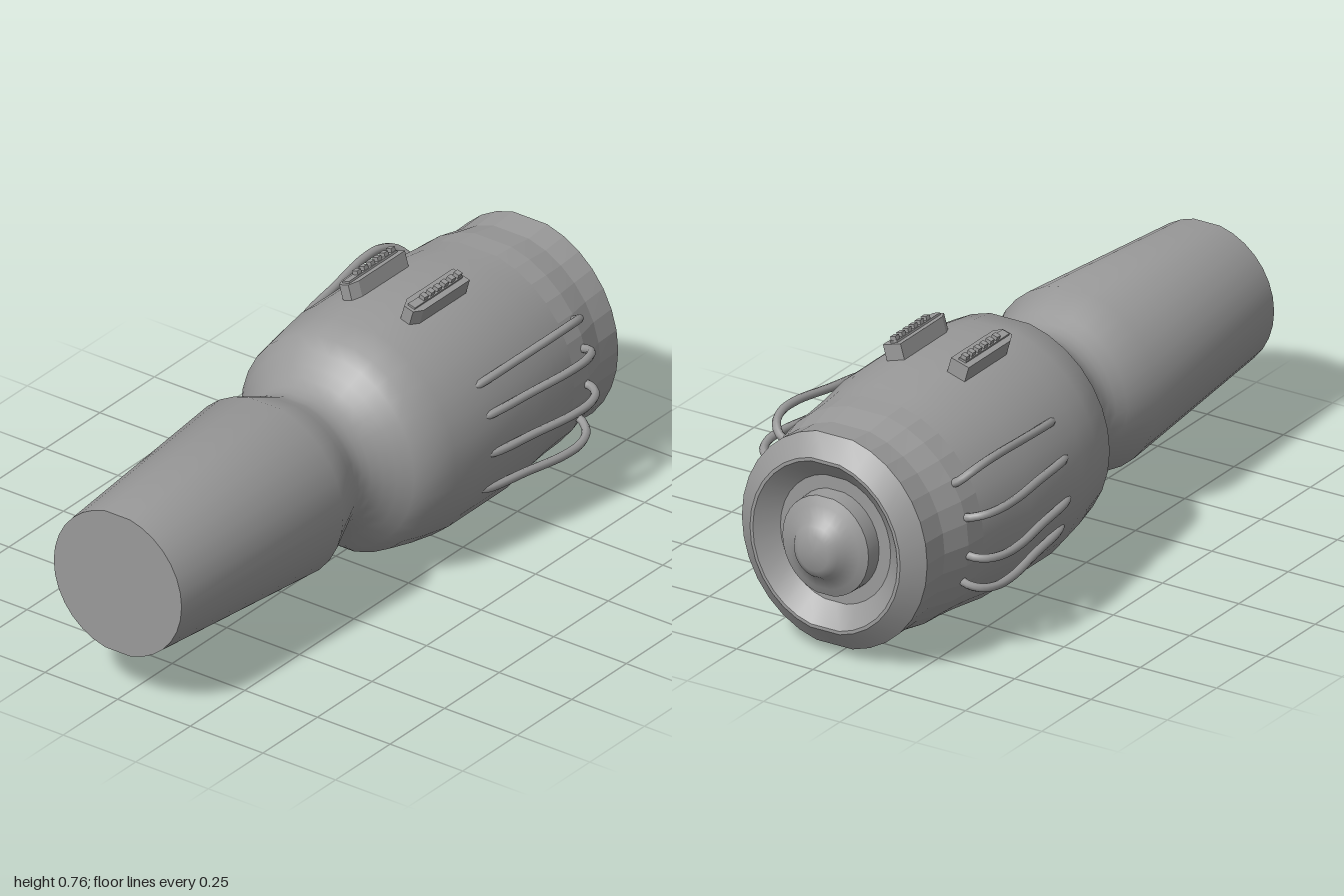
import * as THREE from 'three';
import { toCreasedNormals } from 'three/addons/utils/BufferGeometryUtils.js';

const AXIS_Y = 0.352;
const SEGMENTS = 32;
const SMOOTH = 0.65;
const FACETED = 0.1;
const material = new THREE.MeshStandardMaterial({ color: 0x999999 });

function addMesh(parent, name, geometry) {
  const mesh = new THREE.Mesh(geometry, material);
  mesh.name = name;
  parent.add(mesh);
  return mesh;
}

// Turned part along z with flats at top and bottom; the axis rises slightly
// toward the handle and the tail is a little narrower
function turned(profile, crease = SMOOTH) {
  const g = new THREE.LatheGeometry(profile.map(([z, r]) => new THREE.Vector2(r, z)), SEGMENTS);
  g.rotateX(Math.PI / 2);
  const p = g.attributes.position;
  const flat = Math.cos(2 * Math.PI / SEGMENTS);
  for (let i = 0; i < p.count; i++) {
    const z = p.getZ(i);
    const limit = Math.hypot(p.getX(i), p.getY(i)) * flat;
    const y = THREE.MathUtils.clamp(p.getY(i), -limit, limit);
    const lift = 0.016 * THREE.MathUtils.smoothstep(z, -0.2, 0.25);
    const squeeze = 1 - 0.06 * THREE.MathUtils.smoothstep(-z, 0.7, 0.9);
    p.setXYZ(i, p.getX(i) * squeeze, y + AXIS_Y + lift, z);
  }
  return toCreasedNormals(g, crease);
}

// Point at an angle and distance from the body axis
function polar(angle, r, z) {
  return new THREE.Vector3(Math.cos(angle) * r, AXIS_Y + Math.sin(angle) * r, z);
}

// Thin raised pipe that lifts off the body and hooks back in near the tail
function pipe(angle, fan) {
  const points = [[-0.23, 0.335, 0], [-0.26, 0.354, 0], [-0.42, 0.378, 0.5], [-0.56, 0.398, 1],
    [-0.64, 0.396, 1], [-0.69, 0.376, 0.6], [-0.712, 0.345, 0], [-0.713, 0.31, 0]]
    .map(([z, r, f]) => polar(angle + fan * f, r, z));
  return new THREE.TubeGeometry(new THREE.CatmullRomCurve3(points), 32, 0.0125, 8);
}

// Raised clip with chamfered front, narrow rail and a row of studs; local y points away from the axis
function clip() {
  const group = new THREE.Group();
  const w = 0.03;
  const plan = new THREE.Shape([[-w, 0.427], [-w, 0.215], [-0.016, 0.185], [0.016, 0.185],
    [w, 0.215], [w, 0.427]].map(([x, y]) => new THREE.Vector2(x, y)));
  const block = new THREE.ExtrudeGeometry(plan, { depth: 0.068, bevelEnabled: false });
  block.rotateX(-Math.PI / 2).translate(0, 0.334, 0);
  addMesh(group, 'clipBlock', block);
  addMesh(group, 'clipRail', new THREE.BoxGeometry(0.024, 0.01, 0.22)).position.set(0, 0.403, -0.306);
  for (let i = 0; i < 6; i++) {
    addMesh(group, 'clipStud', new THREE.BoxGeometry(0.018, 0.022, 0.018))
      .position.set(0, 0.409, -0.25 - i * 0.031);
  }
  return group;
}

export function createModel() {
  const model = new THREE.Group();
  model.name = 'handheldDevice';

  // Swollen body, waist and tapering handle
  addMesh(model, 'body', turned([
    [-0.65, 0.333], [-0.58, 0.339], [-0.45, 0.356], [-0.18, 0.357], [-0.09, 0.344],
    [0, 0.327], [0.035, 0.296], [0.07, 0.263], [0.1, 0.238], [0.13, 0.22], [0.155, 0.212],
    [0.18, 0.212], [0.2, 0.218], [0.235, 0.233], [0.33, 0.273], [1, 0.22], [1, 0],
  ]));

  // Faceted bands near the tail
  addMesh(model, 'tailBands', turned([
    [-0.89, 0.323], [-0.805, 0.316], [-0.72, 0.33], [-0.65, 0.333],
  ], FACETED));

  // Chamfered rim and recess
  addMesh(model, 'tailRim', turned([
    [-0.885, 0], [-0.885, 0.192], [-0.938, 0.252], [-0.938, 0.262], [-0.89, 0.323],
  ]));

  // Stepped cap in the recess
  addMesh(model, 'tailCap', turned([
    [-1, 0], [-1, 0.052], [-0.985, 0.076], [-0.965, 0.09], [-0.948, 0.125], [-0.936, 0.15], [-0.88, 0.152],
  ]));

  // Four pipes on each side, fanned around the body
  const sides = [
    { name: 'leftPipe', angles: [31, 16, -3, -24], topFan: 0.02 },
    { name: 'rightPipe', angles: [148, 166, 186, 201], topFan: -0.03 },
  ];
  for (const { name, angles, topFan } of sides) {
    angles.forEach((deg, i) => {
      addMesh(model, name, pipe(THREE.MathUtils.degToRad(deg), i === 0 ? topFan : 0));
    });
  }

  // Mirrored clips on top
  for (const side of [1, -1]) {
    const c = clip();
    c.name = side > 0 ? 'leftClip' : 'rightClip';
    c.position.y = AXIS_Y;
    c.rotation.z = -side * 0.282;
    model.add(c);
  }
  return model;
}
